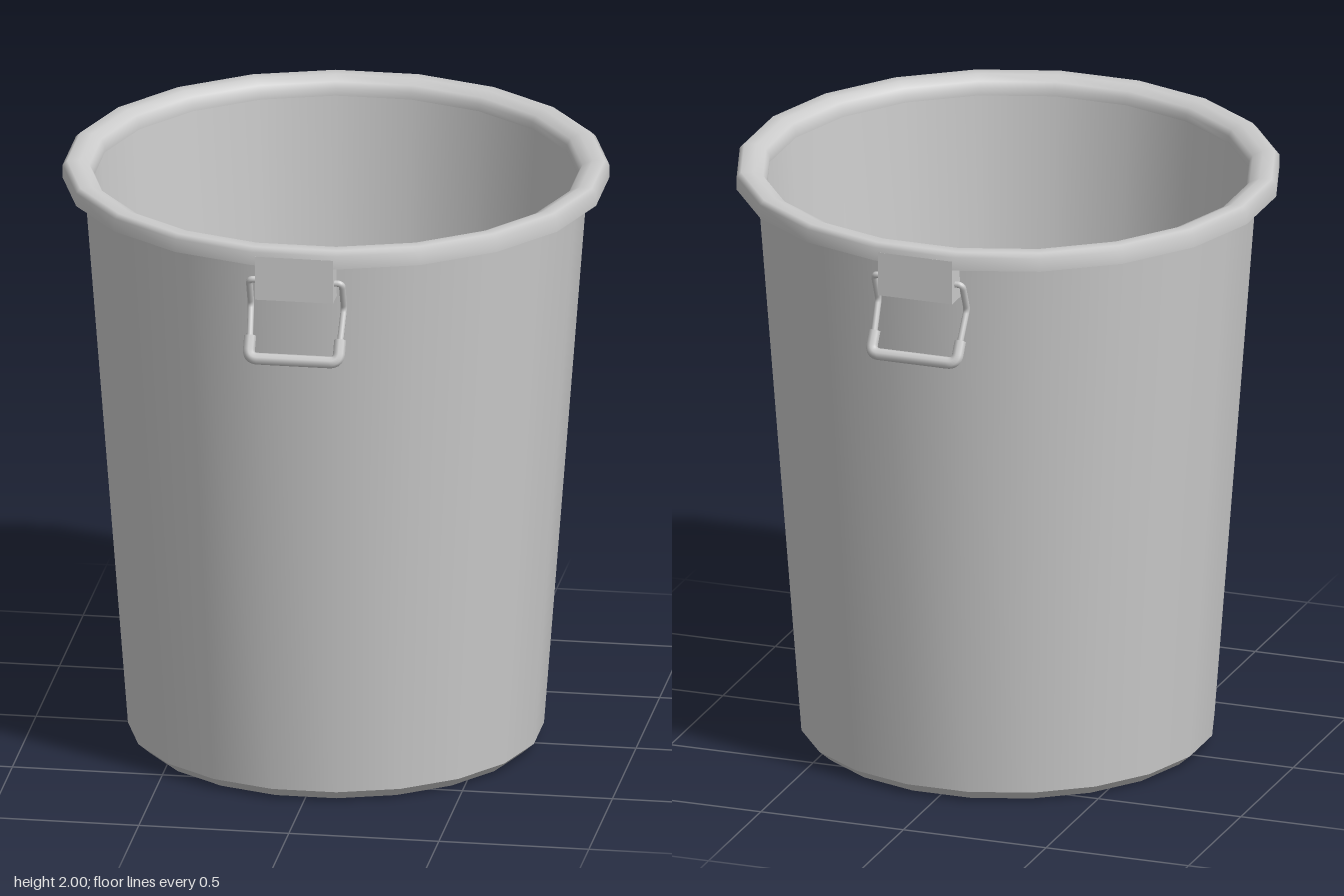
import * as THREE from 'three';

const SIDES = 20;
const material = new THREE.MeshStandardMaterial({ color: 0xcccccc, side: THREE.DoubleSide });

function mesh(name, geometry) {
  const m = new THREE.Mesh(geometry, material);
  m.name = name;
  return m;
}

// Revolves [radius, y] pairs; flats of the polygon face the axes
function turned(name, profile) {
  const points = profile.map(([r, y]) => new THREE.Vector2(r, y));
  return mesh(name, new THREE.LatheGeometry(points, SIDES, Math.PI / SIDES));
}

// Round bar along straight runs joined by small rounded corners
function bar(name, corners, radius, bend) {
  const pts = corners.map((c) => new THREE.Vector3(...c));
  const path = new THREE.CurvePath();
  let from = pts[0];
  for (let i = 1; i < pts.length - 1; i++) {
    const p = pts[i];
    const a = p.clone().add(pts[i - 1].clone().sub(p).setLength(bend));
    const b = p.clone().add(pts[i + 1].clone().sub(p).setLength(bend));
    path.add(new THREE.LineCurve3(from, a));
    path.add(new THREE.QuadraticBezierCurve3(a, p, b));
    from = b;
  }
  path.add(new THREE.LineCurve3(from, pts[pts.length - 1]));
  const group = new THREE.Group();
  group.name = name;
  group.add(mesh(name + 'Bar', new THREE.TubeGeometry(path, 64, radius, 8)));
  // Closed ends
  for (const t of [0, 1]) {
    const cap = mesh(name + 'End', new THREE.CircleGeometry(radius, 8));
    cap.position.copy(path.getPoint(t));
    cap.quaternion.setFromUnitVectors(new THREE.Vector3(0, 0, 1), path.getTangent(t).multiplyScalar(t ? 1 : -1));
    group.add(cap);
  }
  return group;
}

// Bracket under the rim with a hanging wire bail and a thicker grip
function createHandle(name) {
  const handle = new THREE.Group();
  handle.name = name;

  const bracket = mesh('bracket', new THREE.BoxGeometry(0.26, 0.15, 0.08));
  bracket.position.set(0, 1.895, 0.849);
  handle.add(bracket);

  handle.add(bar('grip', [
    [-0.15, 1.685, 0.865], [-0.15, 1.62, 0.905], [0.15, 1.62, 0.905], [0.15, 1.685, 0.865],
  ], 0.02, 0.03));

  for (const s of [-1, 1]) {
    handle.add(bar(s > 0 ? 'leftWire' : 'rightWire', [
      [s * 0.12, 1.88, 0.858], [s * 0.155, 1.88, 0.858], [s * 0.155, 1.78, 0.815], [s * 0.15, 1.67, 0.874],
    ], 0.011, 0.015));
  }
  return handle;
}

export function createModel() {
  const model = new THREE.Group();
  model.name = 'bucket';

  // Tapered body with a chamfered foot
  model.add(turned('base', [[0, 0], [0.645, 0]]));
  model.add(turned('footChamfer', [[0.645, 0], [0.685, 0.035]]));
  model.add(turned('outerWall', [[0.685, 0.035], [0.83, 1.945]]));
  model.add(turned('innerShell', [[0.815, 1.945], [0.672, 0.04], [0.64, 0.015], [0, 0.015]]));

  // Rolled rim
  model.add(turned('rimUnderside', [[0.8, 1.94], [0.9, 1.94]]));
  model.add(turned('rim', [
    [0.9, 1.94], [0.9, 1.985], [0.885, 2], [0.845, 2], [0.812, 1.985], [0.8, 1.965], [0.8, 1.94],
  ]));

  // Handles on front and back
  const front = createHandle('frontHandle');
  const back = createHandle('backHandle');
  back.rotation.y = Math.PI;
  model.add(front, back);

  return model;
}
